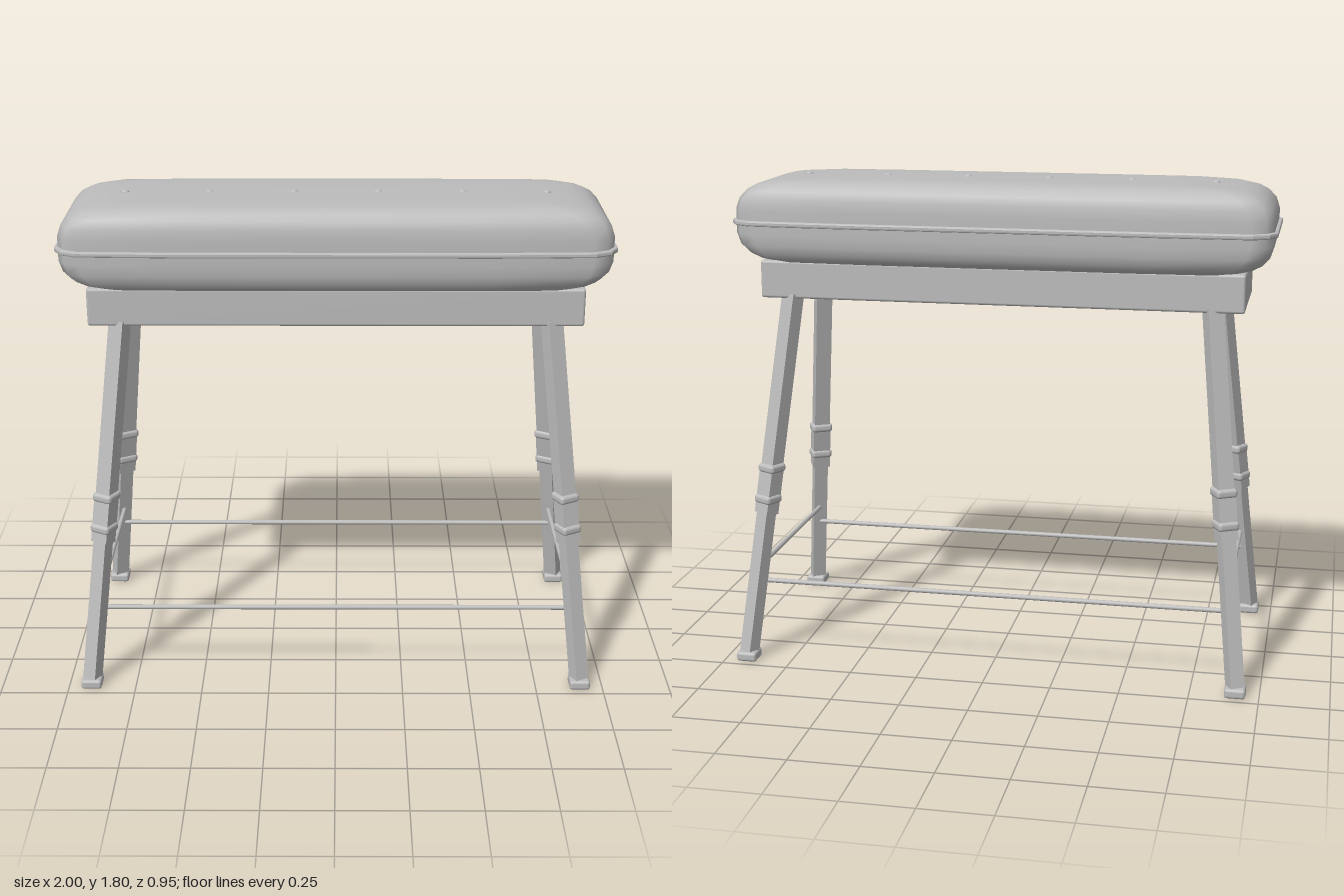
import * as THREE from 'three';
import { RoundedBoxGeometry } from 'three/addons/geometries/RoundedBoxGeometry.js';

const grey = new THREE.MeshStandardMaterial({ color: 0xbcbcbc });
grey.name = 'plain grey';

function add(parent, name, geometry, x = 0, y = 0, z = 0) {
  const mesh = new THREE.Mesh(geometry, grey);
  mesh.name = name;
  mesh.position.set(x, y, z);
  parent.add(mesh);
  return mesh;
}

// Plan outline of the cushion: softly bowed long sides and cut corners
function outline(hx, hz) {
  const c = Math.min(0.08, hz * 0.4);
  const quarter = [
    [hx, 0], [hx, hz - c], [hx - c * 0.32, hz - c * 0.45],
    [hx - c, hz * 0.965], [hx * 0.57, hz], [hx * 0.2, hz],
  ];
  const half = quarter.concat(quarter.slice().reverse().map(([x, z]) => [-x, z]));
  const back = half.slice(1, -1).reverse().map(([x, z]) => [x, -z]);
  return half.concat(back);
}

// Skin a stack of closed rings, capped with a centre point at both ends
function loft(rings) {
  const pos = [], index = [], n = rings[0].length;
  rings.forEach((ring) => ring.forEach((p) => pos.push(...p)));
  for (let r = 0; r < rings.length - 1; r++) {
    for (let i = 0; i < n; i++) {
      const a = r * n + i, b = r * n + (i + 1) % n;
      index.push(a, a + n, b, b, a + n, b + n);
    }
  }
  const bottom = pos.length / 3, top = bottom + 1, last = (rings.length - 1) * n;
  pos.push(0, rings[0][0][1], 0, 0, rings[rings.length - 1][0][1], 0);
  for (let i = 0; i < n; i++) {
    const j = (i + 1) % n;
    index.push(bottom, i, j, top, last + j, last + i);
  }
  const g = new THREE.BufferGeometry();
  g.setAttribute('position', new THREE.Float32BufferAttribute(pos, 3));
  g.setIndex(index);
  g.computeVertexNormals();
  return g;
}

function cushionGeometry() {
  // half length, half width, height above or below the seam
  const profile = [
    [0.985, 0.279, 0.045], [0.972, 0.275, 0.085], [0.945, 0.266, 0.115],
    [0.91, 0.25, 0.135], [0.86, 0.228, 0.148], [0.76, 0.195, 0.156], [0.6, 0.13, 0.159],
  ];
  const ring = (sign) => ([hx, hz, h]) => outline(hx, hz).map(([x, z]) => [x, 1.631 + sign * h, z]);
  return loft([...profile.slice().reverse().map(ring(-1)), ...profile.map(ring(1))]);
}

// Piping: a thin band that follows the cushion's seam
function pipingGeometry() {
  const toPath = (p) => p.map(([x, z]) => new THREE.Vector2(x, z));
  const shape = new THREE.Shape(toPath(outline(0.992, 0.283)));
  shape.holes.push(new THREE.Path(toPath(outline(0.965, 0.262))));
  const g = new THREE.ExtrudeGeometry(shape, {
    depth: 0.008, bevelEnabled: true, bevelThickness: 0.006, bevelSize: 0.006, bevelSegments: 2,
  });
  g.translate(0, 0, -0.004);
  g.rotateX(-Math.PI / 2);
  return g;
}

// One splayed, telescopic leg, with its section turned to face the splay
function buildLeg(sx, sz) {
  const leg = new THREE.Group();
  leg.name = (sz > 0 ? 'front' : 'back') + (sx > 0 ? 'Left' : 'Right') + 'Leg';
  const top = new THREE.Vector3(0.778 * sx, 1.36, 0.193 * sz);
  const foot = new THREE.Vector3(0.914 * sx, 0.02, 0.438 * sz);
  const up = top.clone().sub(foot).normalize();
  const side = new THREE.Vector3(up.z, 0, -up.x).normalize();
  const out = side.clone().cross(up);
  const turn = new THREE.Quaternion().setFromRotationMatrix(new THREE.Matrix4().makeBasis(side, up, out));
  const yaw = Math.atan2(-side.z, side.x);
  const at = (y) => foot.clone().lerp(top, (y - foot.y) / (top.y - foot.y));

  const tube = (name, y0, y1, w, d) => {
    const a = at(y0), b = at(y1);
    const mesh = add(leg, name, new THREE.BoxGeometry(w, a.distanceTo(b), d));
    mesh.position.copy(a).lerp(b, 0.5);
    mesh.quaternion.copy(turn);
  };
  tube('upperTube', 0.6, 1.36, 0.061, 0.054);
  tube('sleeve', 0.55, 0.73, 0.068, 0.058);
  tube('lowerTube', 0.02, 0.6, 0.054, 0.048);

  // Clamping collars
  for (const y of [0.605, 0.72]) {
    const p = at(y);
    const collar = add(leg, 'collar', new RoundedBoxGeometry(0.082, 0.034, 0.074, 3, 0.013), p.x, p.y, p.z);
    collar.rotation.y = yaw;
  }
  add(leg, 'footPad', new RoundedBoxGeometry(0.076, 0.036, 0.078, 3, 0.011), foot.x, 0.018, foot.z);
  return leg;
}

export function createModel() {
  const model = new THREE.Group();
  model.name = 'vaultingHorse';

  // Padded body
  add(model, 'cushion', cushionGeometry());
  add(model, 'piping', pipingGeometry(), 0, 1.629, 0);
  add(model, 'baseBoard', new RoundedBoxGeometry(1.784, 0.14, 0.444, 2, 0.01), 0, 1.418, 0);

  // Row of buttons along the top
  for (const x of [-0.762, -0.457, -0.152, 0.152, 0.457, 0.762]) {
    const y = Math.abs(x) > 0.7 ? 1.786 : 1.787;
    add(model, 'button', new THREE.SphereGeometry(0.015, 16, 10), x, y, 0).scale.y = 0.6;
  }

  // Legs
  for (const sx of [-1, 1]) for (const sz of [-1, 1]) model.add(buildLeg(sx, sz));

  // Brace rods: long pair front and back, short pair at the ends
  for (const s of [-1, 1]) {
    const longRod = add(model, 'longRod', new THREE.CylinderGeometry(0.009, 0.009, 1.75, 12), 0, 0.294, 0.371 * s);
    longRod.rotation.z = Math.PI / 2;
    const endRod = add(model, 'endRod', new THREE.CylinderGeometry(0.009, 0.009, 0.73, 12), 0.872 * s, 0.36, 0);
    endRod.rotation.x = Math.PI / 2;
  }
  return model;
}
